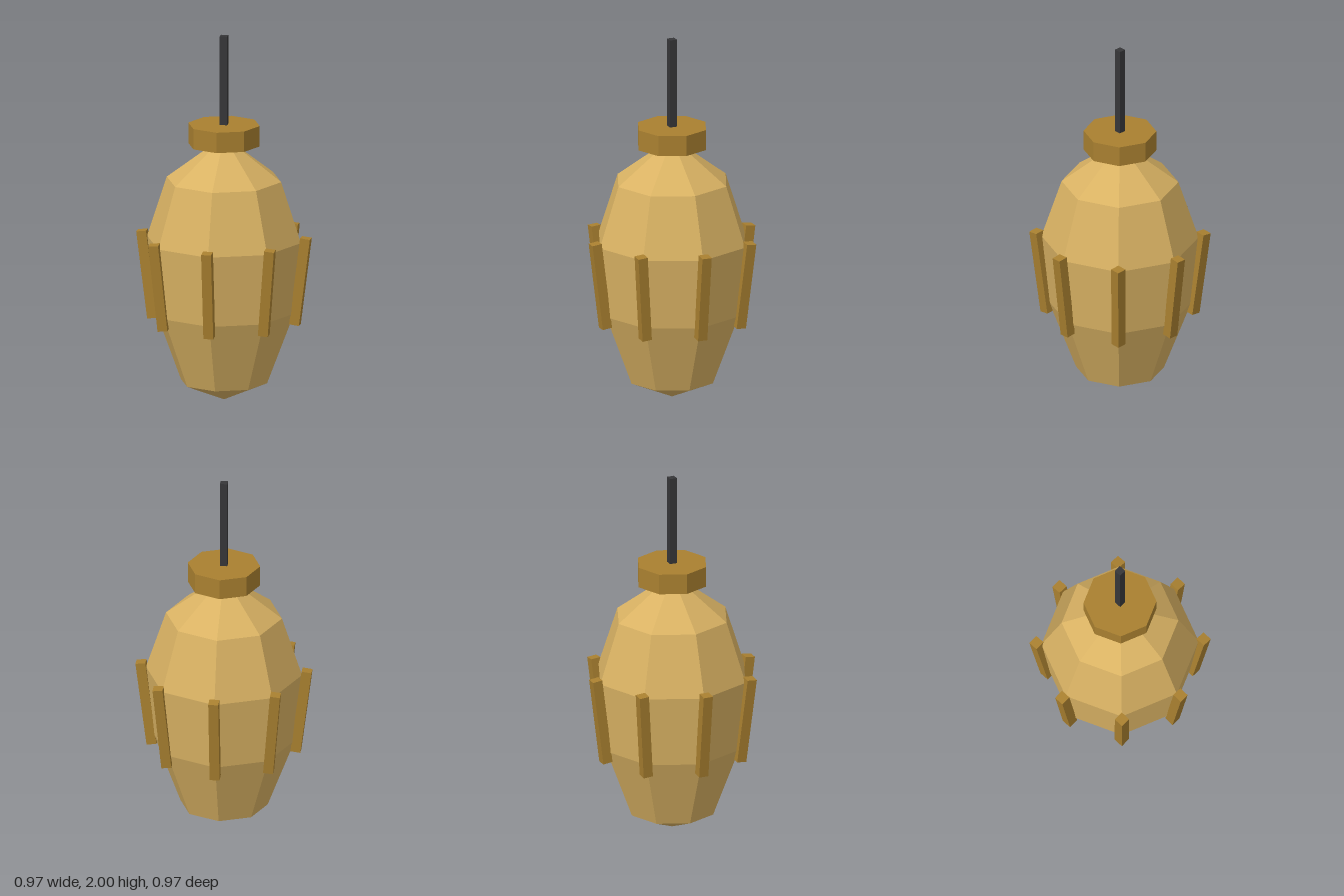
import * as THREE from 'three';

export function createModel() {
  const model = new THREE.Group();
  model.name = 'pendantLamp';

  const material = (name, color) =>
    new THREE.MeshStandardMaterial({ name, color, flatShading: true });
  const paleGold = material('paleGold', 0xd9b263);
  const darkGold = material('darkGold', 0xa98030);
  const charcoal = material('charcoal', 0x363638);

  const add = (name, geometry, mat, y = 0) => {
    const mesh = new THREE.Mesh(geometry, mat);
    mesh.name = name;
    mesh.position.y = y;
    model.add(mesh);
    return mesh;
  };

  // Eight-sided faceted body, pointed at the bottom
  const profile = [
    [0, 0], [0.235, 0.1], [0.382, 0.49], [0.42, 0.88], [0.312, 1.21], [0.055, 1.405], [0, 1.44],
  ].map(([r, y]) => new THREE.Vector2(r, y));
  add('body', new THREE.LatheGeometry(profile, 8), paleGold);

  // Collar and square rod on top
  add('collar', new THREE.CylinderGeometry(0.195, 0.195, 0.112, 8), darkGold, 1.457);
  add('rod', new THREE.CylinderGeometry(0.028, 0.028, 0.52, 4), charcoal, 1.74);

  // Eight square bars around the body, leaning outward at the top
  const barGeometry = new THREE.CylinderGeometry(0.038, 0.038, 0.48, 4);
  const up = new THREE.Vector3(0, 1, 0);
  for (let i = 0; i < 8; i++) {
    const angle = (i * Math.PI) / 4;
    const at = (r, y) => new THREE.Vector3(r * Math.sin(angle), y, r * Math.cos(angle));
    const bottom = at(0.387, 0.433);
    const top = at(0.447, 0.91);
    const bar = add(`bar${i + 1}`, barGeometry, darkGold);
    bar.position.copy(bottom).add(top).multiplyScalar(0.5);
    bar.quaternion.setFromUnitVectors(up, top.sub(bottom).normalize());
  }

  return model;
}
